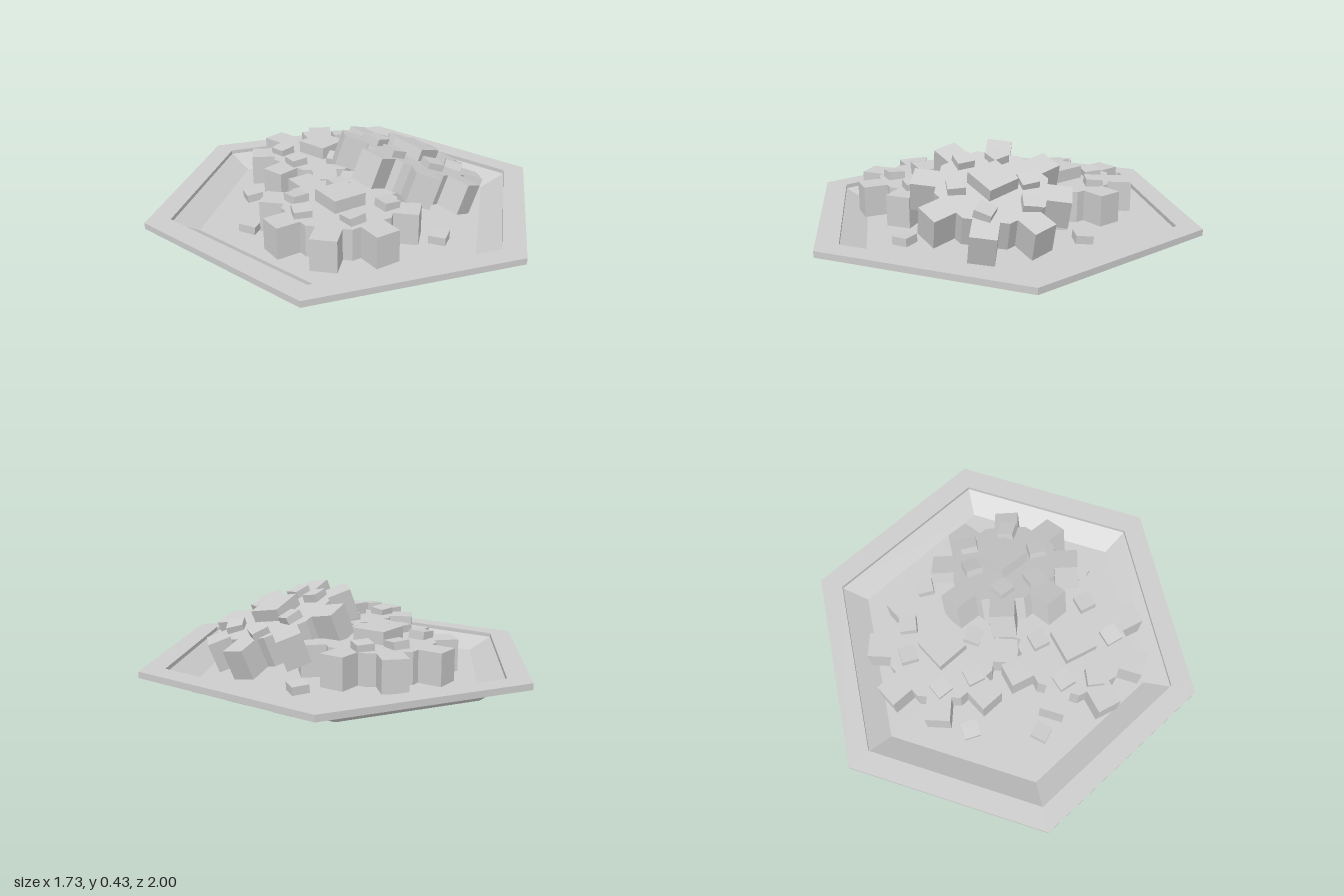
import * as THREE from 'three';

const grey = new THREE.MeshStandardMaterial({ color: 0xcccccc, flatShading: true });
grey.name = 'plainGrey';

function add(parent, name, geometry, x = 0, y = 0, z = 0) {
  const mesh = new THREE.Mesh(geometry, grey);
  mesh.name = name;
  mesh.position.set(x, y, z);
  parent.add(mesh);
  return mesh;
}

// Point on a ring: angle 0 is +z, growing towards +x
const ring = (r, a, y) => new THREE.Vector3(r * Math.sin(a), y, r * Math.cos(a));

// Underside of the tray: sloped panels, notched at each corner, and a flat base
function undersideGeometry() {
  const pts = [];
  const tri = (...p) => p.forEach((v) => pts.push(v.x, v.y, v.z));
  const centre = new THREE.Vector3();
  const step = Math.PI / 3;
  const cut = 0.075;
  for (let k = 0; k < 6; k++) {
    const corner = (i, r, y) => ring(r, (k + i) * step, y);
    const low = [-1, 0, 1].map((i) => corner(i, 0.81, 0));
    const left = low[1].clone().lerp(low[0], cut);
    const right = low[1].clone().lerp(low[2], cut);
    const next = low[2].clone().lerp(low[1], cut);
    const top = corner(0, 0.88, 0.075), topNext = corner(1, 0.88, 0.075);
    const inner = corner(0, 0.755, 0);
    tri(right, next, topNext, right, topNext, top);
    tri(top, left, inner, top, inner, right);
    tri(centre, inner, left, centre, right, inner, centre, next, right);
  }
  const g = new THREE.BufferGeometry();
  g.setAttribute('position', new THREE.Float32BufferAttribute(pts, 3));
  g.computeVertexNormals();
  return g;
}

// Cog biscuit: octagonal body, eight block teeth and a raised square in the middle
function makeCog(name) {
  const cog = new THREE.Group();
  cog.name = name;
  const h = 0.15;
  const body = new THREE.CylinderGeometry(0.27, 0.27, h, 8);
  body.rotateY(Math.PI / 8);
  add(cog, 'body', body, 0, h / 2, 0);
  for (let i = 0; i < 8; i++) {
    const a = (i * Math.PI) / 4;
    const p = ring(0.3025, a, h / 2);
    add(cog, 'tooth', new THREE.BoxGeometry(0.12, h, 0.125), p.x, p.y, p.z).rotation.y = a;
  }
  add(cog, 'centreSquare', new THREE.BoxGeometry(0.165, 0.06, 0.165), 0, h + 0.03, 0);
  return cog;
}

// Small square crumbs: each entry is x, z, turn in degrees
function addCrumbs(parent, y, list) {
  list.forEach(([x, z, turn], i) => {
    const crumb = add(parent, 'crumb', new THREE.BoxGeometry(0.082, 0.04, 0.082), x, y, z);
    crumb.rotation.set(0.1 * Math.sin(i * 2.1), (-turn * Math.PI) / 180, 0.1 * Math.cos(i * 1.7));
  });
}

export function createModel() {
  const model = new THREE.Group();
  model.name = 'trayOfCogs';

  // Six-sided tray: rim, lip, sloped inside and floor
  const profile = [
    [0.88, 0.075], [1, 0.075], [1, 0.105], [0.88, 0.105], [0.88, 0.085], [0.75, 0.025], [0, 0.025],
  ].map(([r, y]) => new THREE.Vector2(r, y));
  add(model, 'trayTop', new THREE.LatheGeometry(profile, 6));
  add(model, 'trayUnderside', undersideGeometry());

  // Two cogs lying flat and one leaning on them
  const back = makeCog('backCog');
  back.position.set(0.12, 0.07, -0.29);
  const side = makeCog('sideCog');
  side.position.set(-0.29, 0.07, 0.2);
  side.rotation.y = -0.26;
  const leaning = makeCog('leaningCog');
  leaning.position.set(0.184, 0.16, 0.196);
  leaning.rotation.set(0.17, 0, -0.33);
  model.add(back, side, leaning);

  // Crumbs on the flat cogs
  addCrumbs(model, 0.235, [
    [-0.03, -0.43, 3], [0.2, -0.44, 25], [0.32, -0.34, 35], [-0.09, -0.275, 15], [0.06, -0.14, -30],
    [-0.4, 0.03, 10], [-0.17, 0.08, 15], [-0.49, 0.15, 35], [-0.39, 0.36, 12], [-0.18, 0.385, 15],
  ]);
  // Crumbs on the leaning cog, in its own frame
  addCrumbs(leaning, 0.165, [
    [-0.14, -0.14, 3], [0.08, -0.145, 20], [0.21, -0.05, 35], [-0.205, 0.01, 15],
    [-0.07, 0.155, 30], [0.14, 0.155, -30],
  ]);
  // Crumbs on the tray floor
  addCrumbs(model, 0.05, [
    [-0.245, -0.44, 25], [-0.49, -0.19, -20], [0.49, -0.11, 30], [0, 0.55, -20],
  ]);
  return model;
}
